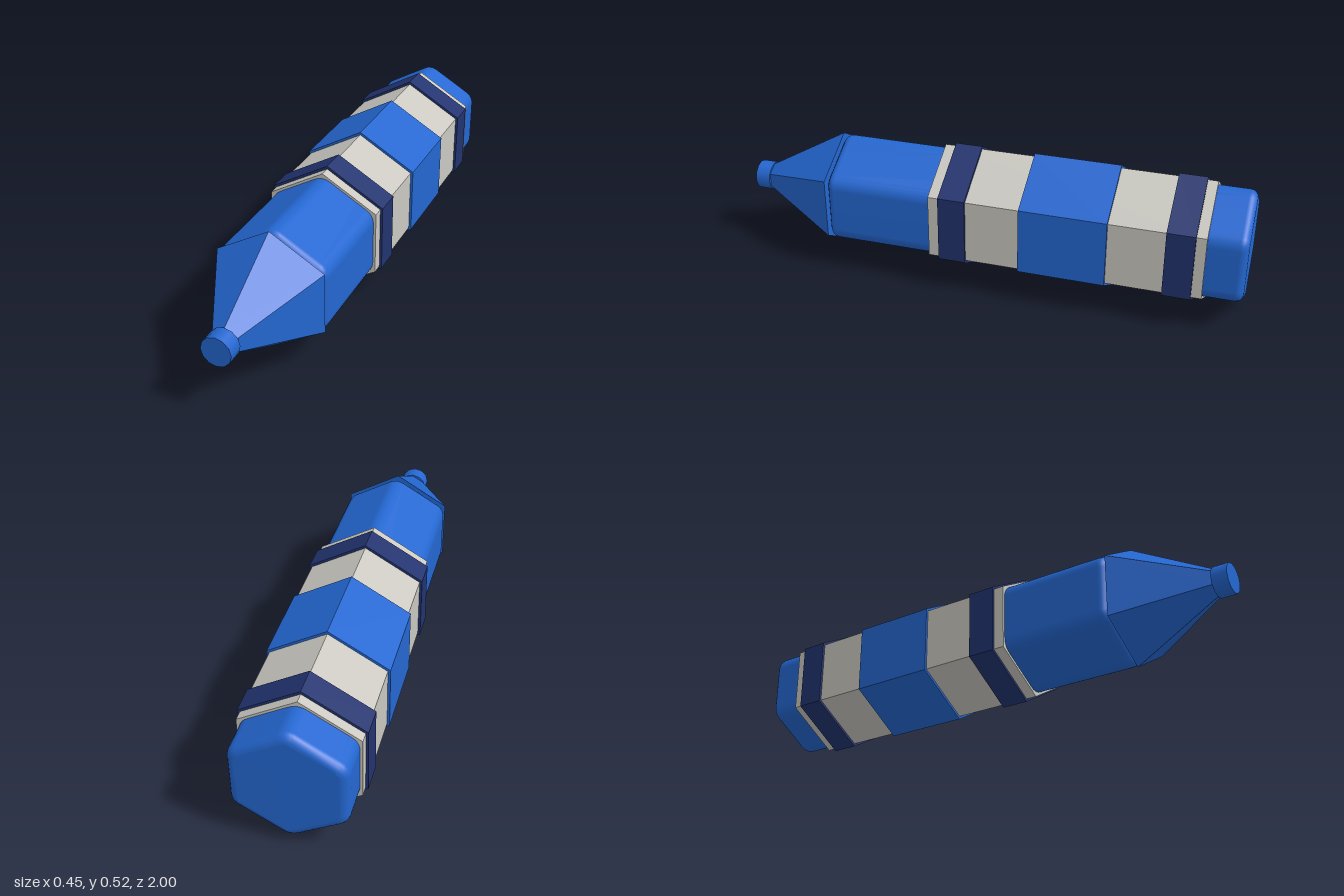
import * as THREE from 'three';
import { mergeVertices } from 'three/addons/utils/BufferGeometryUtils.js';

const CENTER_Y = 0.259;

function material(name, color, flatShading = false) {
  const m = new THREE.MeshStandardMaterial({ color, flatShading });
  m.name = name;
  return m;
}

// Hexagon outline with points up and down and rounded corners
function roundedHexagon(radius, cut) {
  const shape = new THREE.Shape();
  const corner = (i) => {
    const a = Math.PI / 2 + (i * Math.PI) / 3;
    return new THREE.Vector2(Math.cos(a) * radius, Math.sin(a) * radius);
  };
  for (let i = 0; i < 6; i++) {
    const c = corner(i);
    const start = c.clone().lerp(corner(i - 1), cut / radius);
    const end = c.clone().lerp(corner(i + 1), cut / radius);
    if (i === 0) shape.moveTo(start.x, start.y);
    else shape.lineTo(start.x, start.y);
    shape.quadraticCurveTo(c.x, c.y, end.x, end.y);
  }
  shape.closePath();
  return shape;
}

export function createModel() {
  const model = new THREE.Group();
  model.name = 'crayon';

  const blue = material('waxBlue', 0x2467d1);
  const paper = material('paperGrey', 0xcac8c1);
  const navy = material('stripeNavy', 0x22336f);

  const add = (name, geometry, mat) => {
    const mesh = new THREE.Mesh(geometry, mat);
    mesh.name = name;
    mesh.position.y = CENTER_Y;
    model.add(mesh);
    return mesh;
  };

  // Straight or tapered prism along z, from z0 (back) to z1 (front)
  const prism = (name, backR, frontR, z0, z1, sides, mat) => {
    const g = new THREE.CylinderGeometry(frontR, backR, z1 - z0, sides);
    g.rotateX(Math.PI / 2);
    g.translate(0, 0, (z0 + z1) / 2);
    const faceted = sides === 6 ? g.toNonIndexed() : g;
    if (sides === 6) faceted.computeVertexNormals();
    return add(name, faceted, mat);
  };

  // Wax body with softly rounded edges
  const bevel = 0.03;
  let body = new THREE.ExtrudeGeometry(roundedHexagon(0.237, 0.035), {
    depth: 1.61 - 2 * bevel,
    bevelEnabled: true,
    bevelThickness: bevel,
    bevelSize: bevel,
    bevelOffset: -bevel,
    bevelSegments: 4,
    curveSegments: 5,
  });
  body.translate(0, 0, -1 + bevel);
  body.deleteAttribute('normal');
  body.deleteAttribute('uv');
  body = mergeVertices(body, 1e-4);
  body.computeVertexNormals();
  add('body', body, blue);

  // Faceted point and round tip
  prism('point', 0.238, 0.05, 0.615, 0.945, 6, blue);
  prism('tip', 0.057, 0.057, 0.94, 1, 12, blue);

  // Paper sleeve and its raised bands
  prism('sleeve', 0.248, 0.248, -0.855, 0.187, 6, paper);
  prism('frontStripe', 0.259, 0.259, 0.04, 0.145, 6, navy);
  prism('labelBand', 0.259, 0.259, -0.5, -0.168, 6, blue);
  prism('backStripe', 0.259, 0.259, -0.817, -0.712, 6, navy);

  return model;
}
